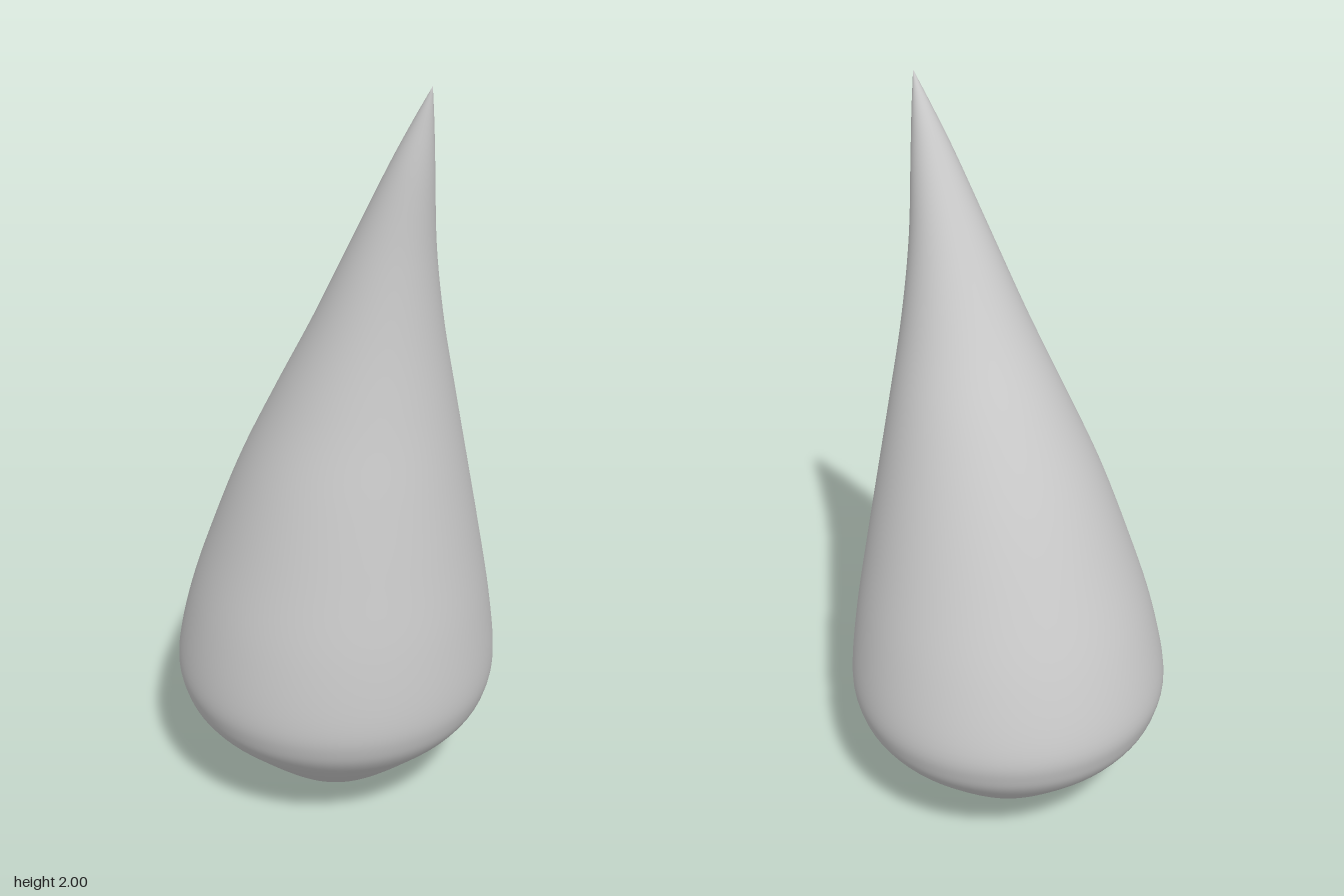
import * as THREE from 'three';

// Cross-sections from base to tip: [y, radius, centre x, centre z]
const SECTIONS = [
  [0, 0, 0, 0], [0.01, 0.06, 0, 0], [0.036, 0.12, 0, 0], [0.095, 0.2, 0, 0],
  [0.195, 0.31, 0, 0], [0.265, 0.378, 0, 0], [0.33, 0.413, 0, 0], [0.42, 0.424, 0, 0.002],
  [0.6, 0.395, 0, 0.02], [0.8, 0.345, 0.004, 0.045], [1.0, 0.289, 0.01, 0.074],
  [1.2, 0.225, 0.021, 0.11], [1.4, 0.16, 0.03, 0.154], [1.6, 0.104, 0.04, 0.2],
  [1.8, 0.055, 0.055, 0.252], [1.91, 0.026, 0.066, 0.28], [2, 0, 0.075, 0.304],
];

// Lofts smooth round rings along a bent centre line
function loftRings(sections, rings, sides) {
  const spline = (pick) => new THREE.CatmullRomCurve3(sections.map(pick), false, 'catmullrom', 0.5);
  const centre = spline(([y, , x, z]) => new THREE.Vector3(x, y, z));
  const radius = spline(([, r]) => new THREE.Vector3(r, 0, 0));
  const positions = [];
  const index = [];
  for (let i = 0; i <= rings; i++) {
    const c = centre.getPoint(i / rings);
    const r = Math.max(0, radius.getPoint(i / rings).x);
    // The two ends are single points
    const count = i === 0 || i === rings ? 1 : sides;
    for (let j = 0; j < count; j++) {
      const a = (j / sides) * Math.PI * 2;
      positions.push(c.x + r * Math.sin(a), Math.max(0, c.y), c.z + r * Math.cos(a));
    }
  }
  const at = (i, j) => (i === 0 ? 0 : 1 + (i - 1) * sides + (i === rings ? 0 : j % sides));
  for (let i = 0; i < rings; i++) {
    for (let j = 0; j < sides; j++) {
      if (i > 0) index.push(at(i, j), at(i, j + 1), at(i + 1, j));
      if (i < rings - 1) index.push(at(i, j + 1), at(i + 1, j + 1), at(i + 1, j));
    }
  }
  const geometry = new THREE.BufferGeometry();
  geometry.setAttribute('position', new THREE.Float32BufferAttribute(positions, 3));
  geometry.setIndex(index);
  geometry.computeVertexNormals();
  return geometry;
}

export function createModel() {
  const model = new THREE.Group();
  model.name = 'teardrop';
  // Bulb drawn up into a tip that leans forward and to the left
  const body = new THREE.Mesh(
    loftRings(SECTIONS, 96, 80),
    new THREE.MeshStandardMaterial({ color: 0xcccccc }),
  );
  body.name = 'dropBody';
  model.add(body);
  return model;
}
